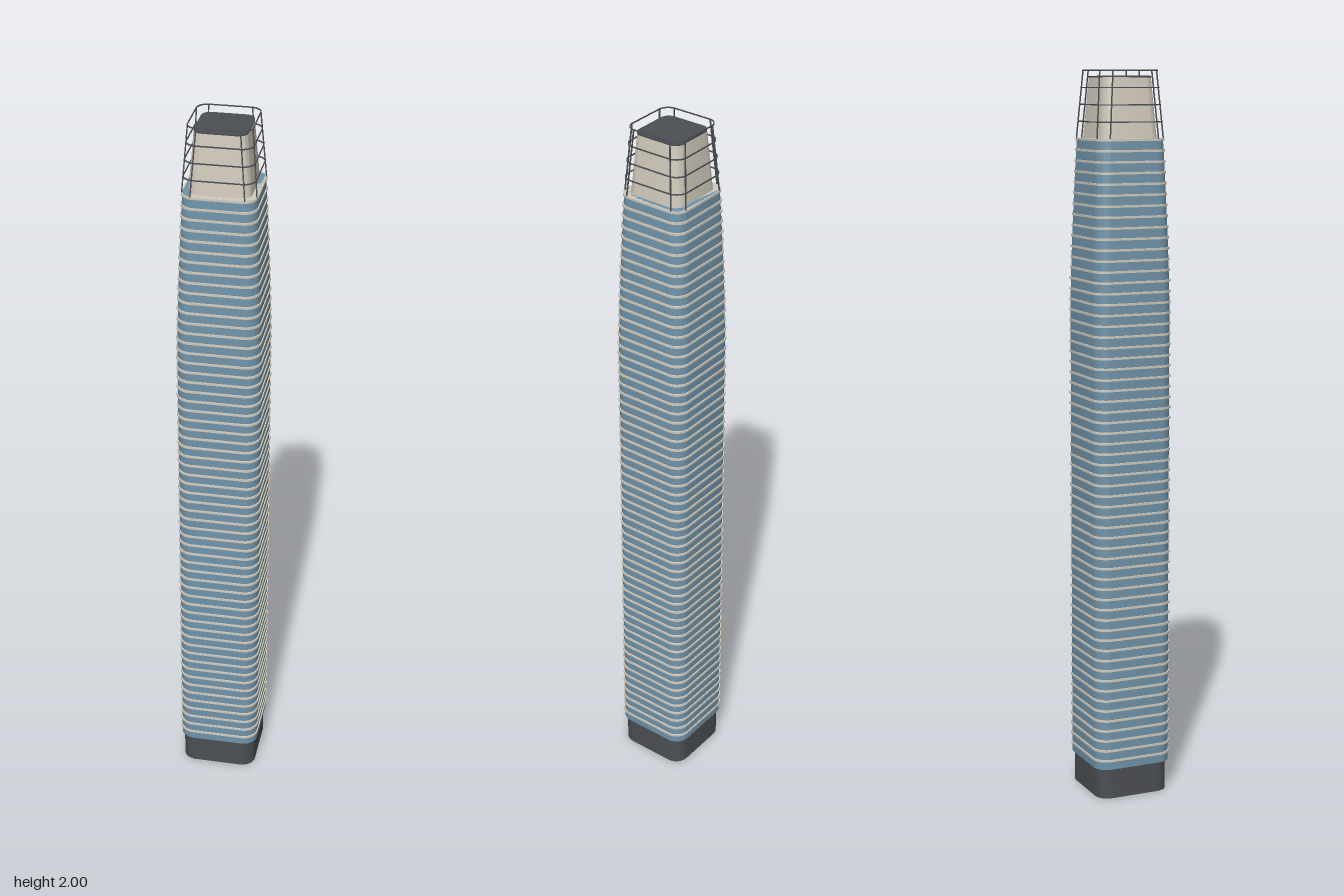
import * as THREE from 'three';
import { mergeGeometries, toCreasedNormals } from 'three/addons/utils/BufferGeometryUtils.js';

const mat = (name, color) => {
  const m = new THREE.MeshStandardMaterial({ color });
  m.name = name;
  return m;
};

// Rounded square outline of half width h and corner radius r
function roundedSquare(h, r, Kind = THREE.Shape) {
  const s = new Kind();
  const c = h - r;
  s.absarc(c, c, r, 0, Math.PI / 2);
  s.absarc(-c, c, r, Math.PI / 2, Math.PI);
  s.absarc(-c, -c, r, Math.PI, Math.PI * 1.5);
  s.absarc(c, -c, r, Math.PI * 1.5, Math.PI * 2);
  s.closePath();
  return s;
}

// Upright prism from y0 to y1 whose half width goes from h0 to h1
function prism(y0, y1, h0, h1 = h0, wall = 0) {
  const shape = roundedSquare(h0, h0 * 0.36);
  if (wall) shape.holes.push(roundedSquare(h0 - wall, h0 * 0.36 - wall, THREE.Path));
  const g = new THREE.ExtrudeGeometry(shape, { depth: y1 - y0, bevelEnabled: false, curveSegments: 6 });
  g.rotateX(-Math.PI / 2).translate(0, y0, 0);
  const p = g.attributes.position;
  const mid = (y0 + y1) / 2;
  for (let i = 0; i < p.count; i++) {
    if (p.getY(i) > mid) p.setXYZ(i, p.getX(i) * h1 / h0, p.getY(i), p.getZ(i) * h1 / h0);
  }
  return toCreasedNormals(g, 0.5);
}

// Thin square bar between two points
function bar(a, b, t) {
  const d = b.clone().sub(a);
  const g = new THREE.BoxGeometry(t, d.length(), t);
  g.applyQuaternion(new THREE.Quaternion().setFromUnitVectors(new THREE.Vector3(0, 1, 0), d.normalize()));
  return g.translate((a.x + b.x) / 2, (a.y + b.y) / 2, (a.z + b.z) / 2);
}

export function createModel() {
  const group = new THREE.Group();
  group.name = 'tower';
  const glass = mat('blue glass', 0x7094aa);
  const stone = mat('pale stone', 0xd2cbbd);
  const dark = mat('dark grey', 0x4c4f54);
  const add = (name, geometry, material) => {
    const mesh = new THREE.Mesh(geometry, material);
    mesh.name = name;
    group.add(mesh);
  };

  // Recessed ground storeys
  add('base', prism(0, 0.088, 0.106), dark);

  // Storeys: glass bands with projecting floor slabs, curving in near the top
  const bottom = 0.086, top = 1.82, floors = 60, step = (top - bottom) / floors;
  const half = y => 0.115 - 0.016 * Math.pow(Math.max(0, (y - 1.35) / (top - 1.35)), 1.5);
  const bands = [], slabs = [];
  for (let i = 0; i < floors; i++) {
    const y = bottom + i * step;
    bands.push(prism(y, y + step, half(y) - 0.003, half(y + step) - 0.003));
    slabs.push(prism(y + step - 0.006, y + step, half(y + step)));
  }
  add('glassBands', mergeGeometries(bands), glass);
  add('floorSlabs', mergeGeometries(slabs), stone);

  // Crown core and its flat roof
  add('crownCore', prism(top, 1.98, 0.082, 0.069), stone);
  add('crownRoof', prism(1.98, 1.984, 0.069), dark);

  // Open frame around the crown: rings and two leaning posts per corner
  const frame = [];
  const frameHalf = y => 0.098 - 0.014 * (y - top) / (2 - top);
  for (let i = 1; i <= 4; i++) {
    const y = top + i * 0.045;
    frame.push(prism(y - 0.003, y, frameHalf(y), frameHalf(y), 0.0025));
  }
  for (let side = 0; side < 4; side++) {
    for (const s of [-1, 1]) {
      const post = bar(
        new THREE.Vector3(s * 0.07, top, 0.0965),
        new THREE.Vector3(s * 0.056, 1.999, 0.0825), 0.003);
      frame.push(post.rotateY(side * Math.PI / 2).toNonIndexed());
    }
  }
  add('crownFrame', mergeGeometries(frame), dark);

  return group;
}
